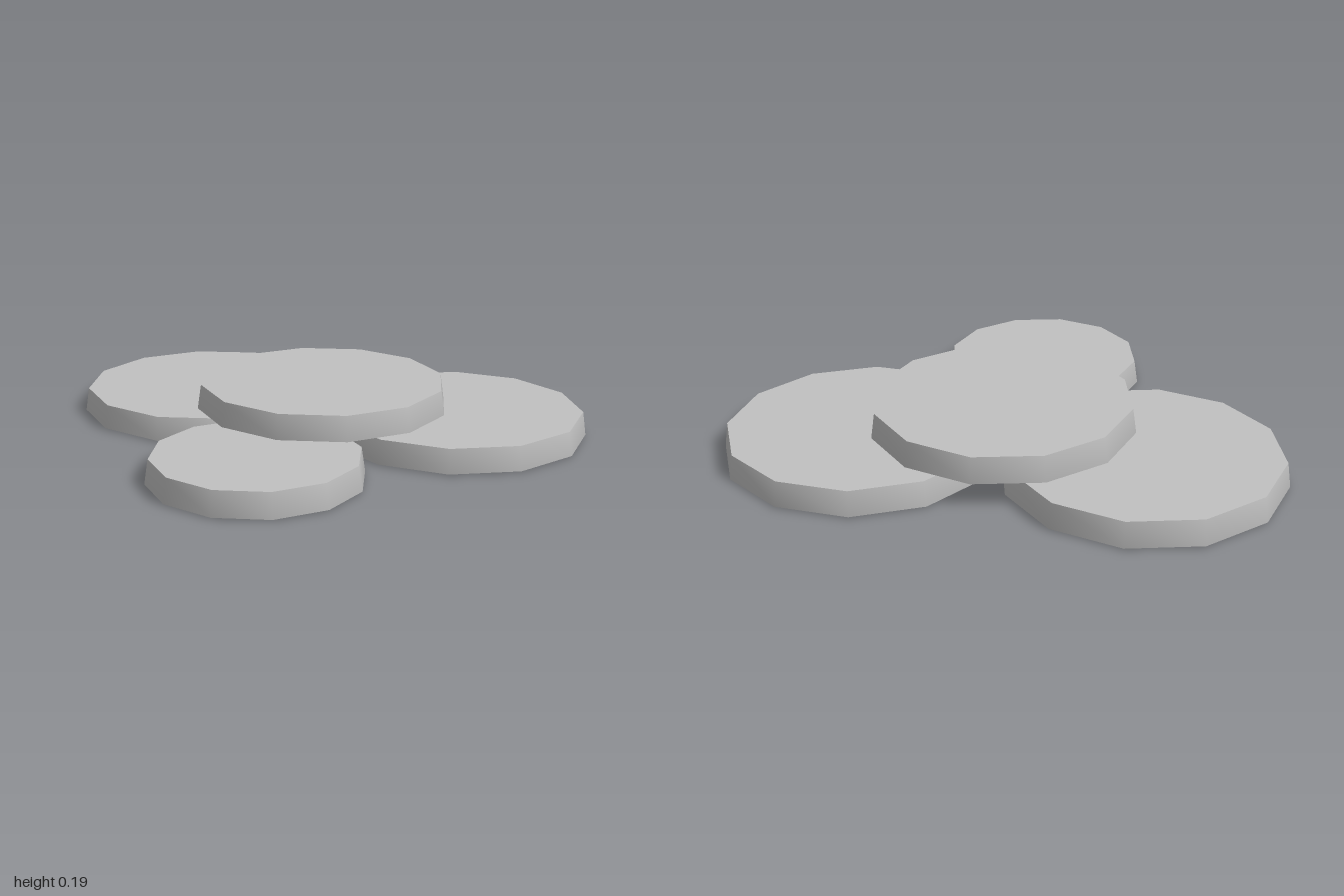
import * as THREE from 'three';

const SIDES = 12;

// Turned surface: a profile of [radius, height] points from bottom to top
function turned(points, turn, material, name) {
  const profile = points.map(([r, y]) => new THREE.Vector2(r, y));
  const mesh = new THREE.Mesh(new THREE.LatheGeometry(profile, SIDES, turn), material);
  mesh.name = name;
  return mesh;
}

// Flat twelve-sided slab with a slightly tapered, smooth rim
function makeSlab(name, x, y, z, radius, height, turnDegrees, material) {
  const slab = new THREE.Group();
  slab.name = name;
  const turn = THREE.MathUtils.degToRad(turnDegrees);
  const base = radius - 0.018;
  const top = radius - 0.014;
  slab.add(
    turned([[0, 0], [base, 0]], turn, material, 'underside'),
    turned([[base, 0], [radius, 0.004], [top, height]], turn, material, 'rim'),
    turned([[top, height], [0, height]], turn, material, 'topFace'),
  );
  slab.position.set(x, y, z);
  return slab;
}

export function createModel() {
  const model = new THREE.Group();
  model.name = 'stackedSlabs';
  const stone = new THREE.MeshStandardMaterial({ color: 0xc0c0c0 });
  stone.name = 'pale grey stone';

  // Three slabs on the ground, one resting across them
  model.add(
    makeSlab('rightSlab', -0.5, 0, -0.315, 0.5, 0.093, -1, stone),
    makeSlab('leftSlab', 0.502, 0, -0.305, 0.5, 0.093, 11, stone),
    makeSlab('frontSlab', -0.022, 0, 0.425, 0.382, 0.093, -1.5, stone),
    makeSlab('upperSlab', 0.017, 0.093, -0.192, 0.479, 0.096, -1.6, stone),
  );
  return model;
}
